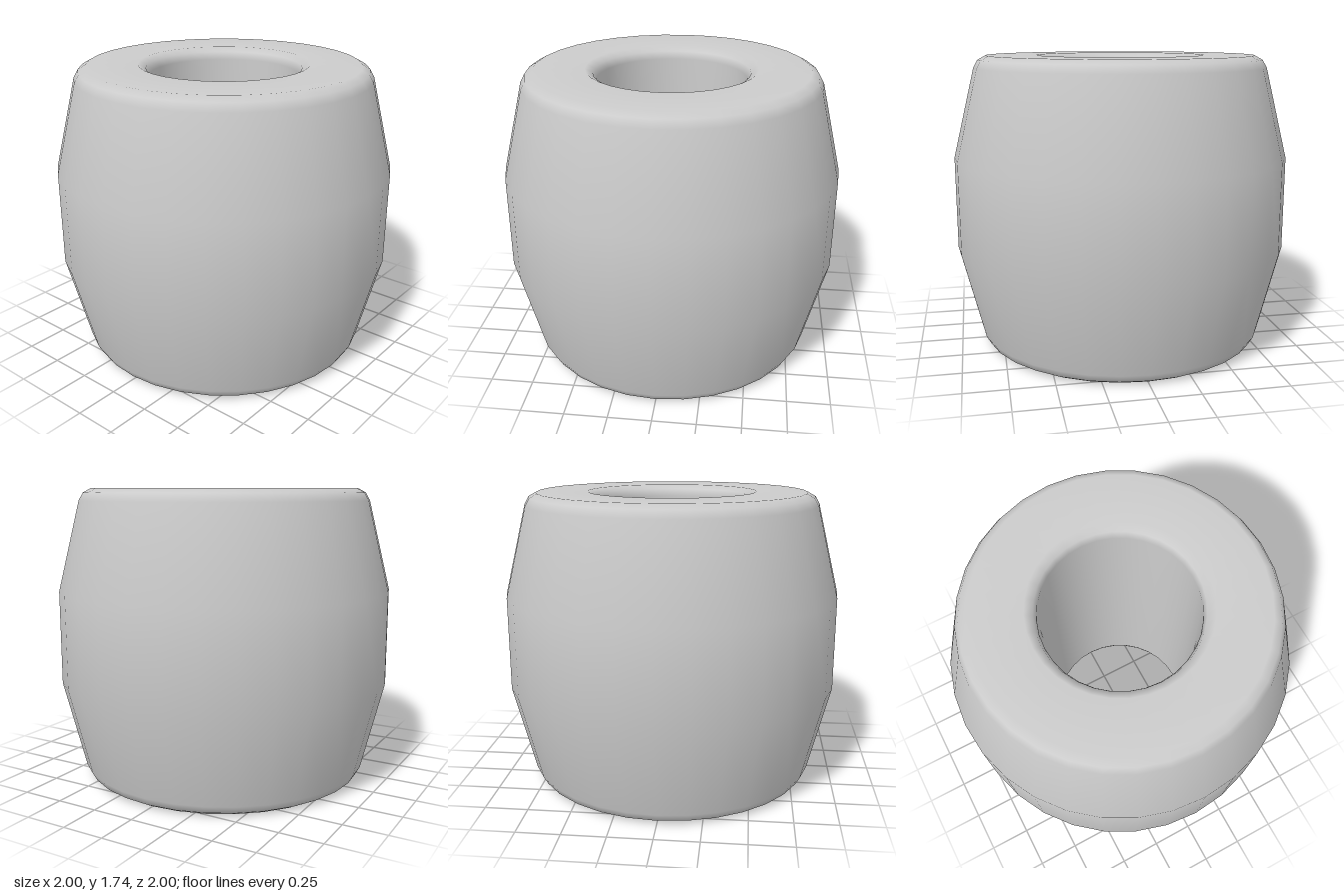
import * as THREE from 'three';

export function createModel() {
  const group = new THREE.Group();
  const height = 1.74;

  // lower half of the section, from the bore wall round to the outer wall
  const lower = [
    [0.44, 0.07], [0.455, 0.025], [0.5, 0], // bore rim
    [0.8, 0], [0.845, 0.025], [0.87, 0.07], // outer rim
    [1, 0.595],                             // widest band
  ];
  const upper = lower.map(([r, y]) => [r, height - y]).reverse();
  const section = [[0.44, height / 2], ...lower, ...upper, [0.44, height / 2]];

  // barrel-shaped bead with a through hole
  const bead = new THREE.Mesh(
    new THREE.LatheGeometry(section.map(([r, y]) => new THREE.Vector2(r, y)), 32),
    new THREE.MeshStandardMaterial({ color: 0xcccccc })
  );
  bead.name = 'barrelBead';
  group.add(bead);
  return group;
}
